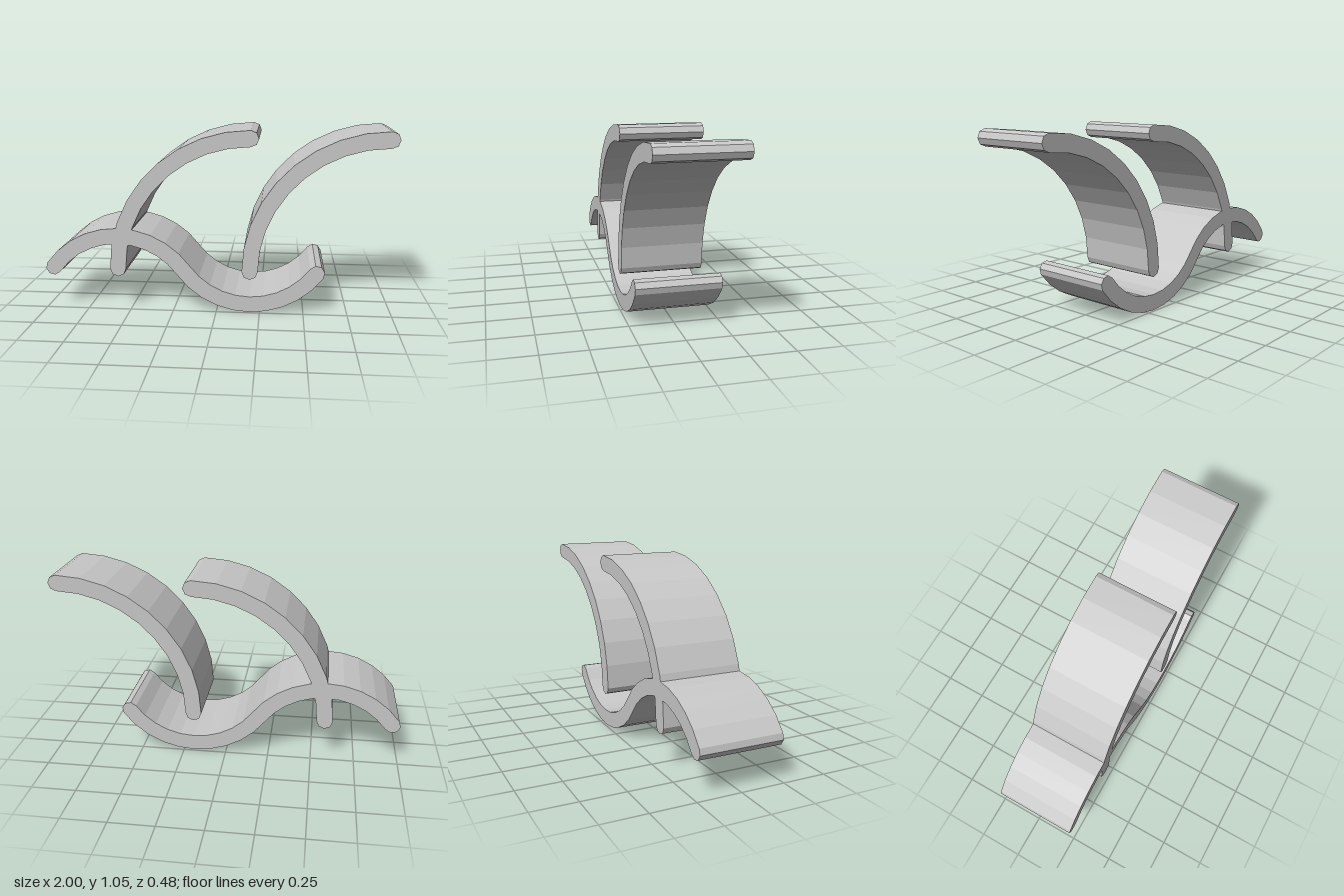
import * as THREE from 'three';

const HALF = 0.046;   // half thickness of every band
const DEPTH = 0.476;  // width of every band along z
const BASE = 0.241;   // height of the band ends
const STEP = 0.3816;  // quarter of the wave's span

// Points with tangent angles along a circular arc, angles in radians
function arc(cx, cy, r, a0, a1, n) {
  const turn = Math.sign(a1 - a0) * Math.PI / 2;
  return Array.from({ length: n + 1 }, (_, i) => {
    const a = a0 + (a1 - a0) * i / n;
    return { x: cx + r * Math.cos(a), y: cy + r * Math.sin(a), dir: a + turn };
  });
}

// Thick band with rounded ends, extruded along z
function band(name, path, material) {
  const outline = [];
  const add = (p, offset) => outline.push(new THREE.Vector2(
    p.x + HALF * Math.cos(p.dir + offset), p.y + HALF * Math.sin(p.dir + offset)));
  const cap = (p, from) => {
    for (let i = 1; i < 4; i++) add(p, from + i * Math.PI / 4);
  };
  path.forEach((p) => add(p, -Math.PI / 2));
  cap(path[path.length - 1], -Math.PI / 2);
  [...path].reverse().forEach((p) => add(p, Math.PI / 2));
  cap(path[0], Math.PI / 2);

  const geometry = new THREE.ExtrudeGeometry(new THREE.Shape(outline), {
    depth: DEPTH, bevelEnabled: false, steps: 1,
  });
  geometry.translate(0, 0, -DEPTH / 2);
  const mesh = new THREE.Mesh(geometry, material);
  mesh.name = name;
  return mesh;
}

export function createModel() {
  const group = new THREE.Group();
  group.name = 'waveSculpture';
  const grey = new THREE.MeshStandardMaterial({ color: 0xc8c8c8 });
  grey.name = 'light grey';

  // Low wave: a crest arc flowing into a trough arc
  const rise = BASE - HALF;
  const r = (STEP * STEP + rise * rise) / (2 * rise);
  const h = Math.asin(STEP / r);
  const up = Math.PI / 2;
  const crest = arc(-1.5 * STEP, BASE + rise - r, r, up + h, up - h, 10);
  const trough = arc(0.5 * STEP, BASE - rise + r, r, -up - h, -up + h, 10);
  group.add(band('wave', [...crest, ...trough.slice(1)], grey));

  // Two tall quarter arcs, side by side
  for (const [name, x] of [['rightArc', 0.5 * STEP], ['leftArc', 2.5 * STEP]]) {
    group.add(band(name, arc(x, BASE, 2 * STEP, Math.PI, up, 9), grey));
  }
  return group;
}
